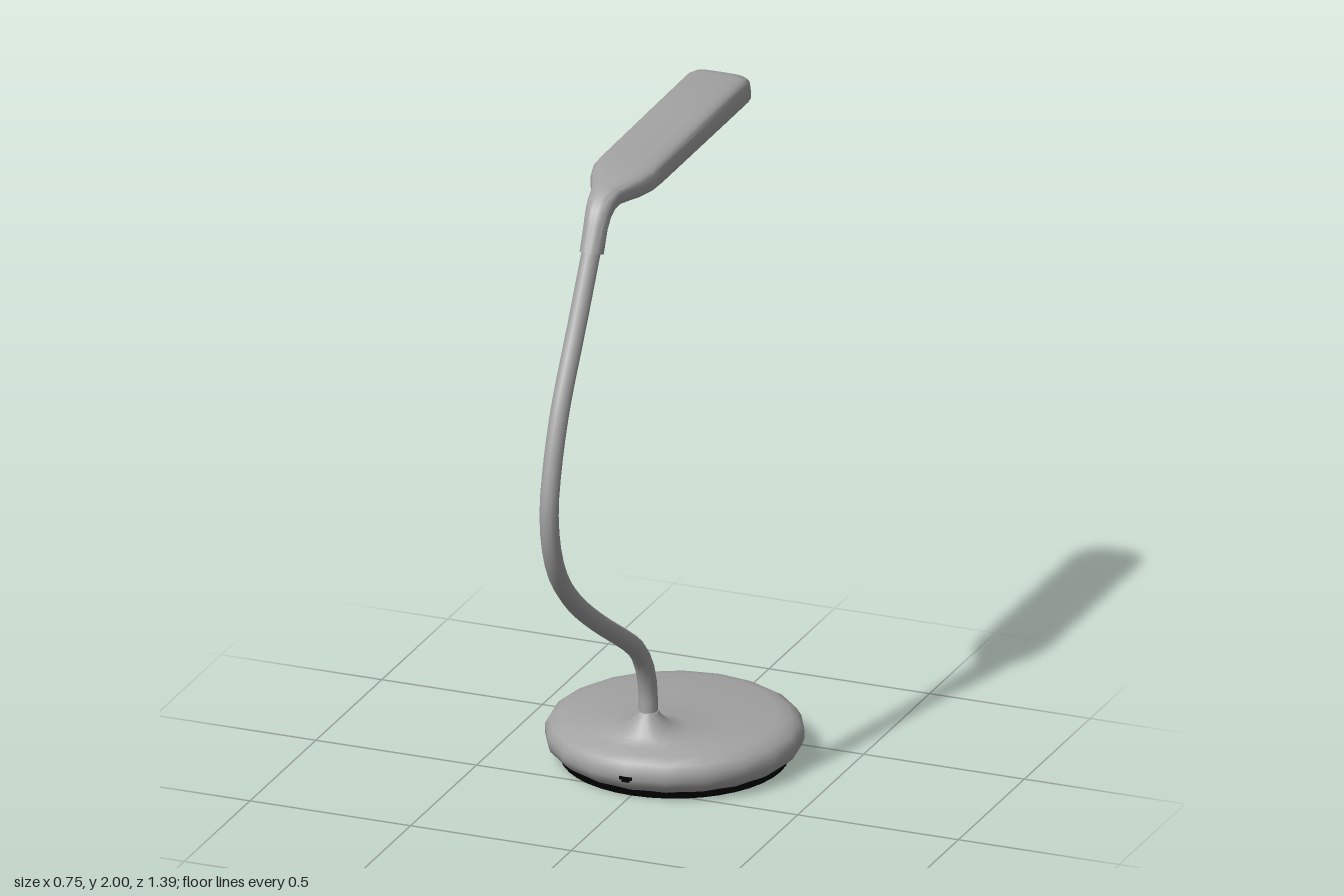
import * as THREE from 'three';
import { toCreasedNormals } from 'three/addons/utils/BufferGeometryUtils.js';

const grey = new THREE.MeshStandardMaterial({ color: 0xa3a3a3 });
grey.name = 'grey plastic';
const black = new THREE.MeshStandardMaterial({ color: 0x000000 });
black.name = 'black rubber';

// Skins a list of closed rings (arrays of Vector3) and caps both ends.
function loft(rings, crease) {
  const n = rings[0].length;
  const pos = [];
  const index = [];
  rings.forEach((ring) => ring.forEach((p) => pos.push(p.x, p.y, p.z)));
  for (let i = 0; i < rings.length - 1; i++) {
    for (let j = 0; j < n; j++) {
      const a = i * n + j;
      const b = i * n + (j + 1) % n;
      index.push(a, a + n, b, b, a + n, b + n);
    }
  }
  [0, rings.length - 1].forEach((r, end) => {
    const c = rings[r].reduce((s, p) => s.add(p), new THREE.Vector3()).divideScalar(n);
    const ci = pos.length / 3;
    pos.push(c.x, c.y, c.z);
    for (let j = 0; j < n; j++) {
      const a = r * n + j;
      const b = r * n + (j + 1) % n;
      if (end) index.push(ci, b, a);
      else index.push(ci, a, b);
    }
  });
  const geo = new THREE.BufferGeometry();
  geo.setAttribute('position', new THREE.Float32BufferAttribute(pos, 3));
  geo.setIndex(index);
  return toCreasedNormals(geo, crease);
}

function ringPoints(count, fn) {
  return Array.from({ length: count }, (_, j) => fn((j / count) * Math.PI * 2));
}

function add(group, name, geo, mat) {
  const mesh = new THREE.Mesh(geo, mat);
  mesh.name = name;
  group.add(mesh);
  return mesh;
}

export function createModel() {
  const lamp = new THREE.Group();
  lamp.name = 'deskLamp';

  // Base: 20-sided disc whose top sweeps up to an off-centre neck [y, radius, z]
  const baseRings = [
    [0.02, 0.335, -0.285], [0.03, 0.35, -0.285], [0.046, 0.368, -0.285], [0.065, 0.375, -0.285],
    [0.09, 0.375, -0.285], [0.112, 0.362, -0.285], [0.128, 0.335, -0.285], [0.137, 0.3, -0.28],
    [0.148, 0.19, -0.19], [0.158, 0.1, -0.11], [0.172, 0.068, -0.09], [0.19, 0.05, -0.084],
    [0.207, 0.036, -0.083], [0.217, 0.031, -0.083],
  ].map(([y, r, z]) => ringPoints(20, (a) =>
    new THREE.Vector3(r * Math.cos(a), y, z + r * Math.sin(a))));
  add(lamp, 'base', loft(baseRings, 1.0), grey);

  // Rubber pad under the base
  add(lamp, 'footPad', new THREE.CylinderGeometry(0.335, 0.33, 0.022, 40), black)
    .position.set(0, 0.011, -0.285);

  // Small power socket on the front rim
  add(lamp, 'powerSocket', new THREE.BoxGeometry(0.038, 0.009, 0.008), black)
    .position.set(0, 0.07, 0.088);
  add(lamp, 'powerSocketLower', new THREE.BoxGeometry(0.024, 0.008, 0.008), black)
    .position.set(0, 0.062, 0.087);

  // Bent gooseneck [z, y]
  const neckPath = new THREE.CatmullRomCurve3([
    [-0.083, 0.19], [-0.083, 0.28], [-0.052, 0.37], [0.005, 0.44], [0.1, 0.507], [0.3, 0.634],
    [0.48, 0.765], [0.6, 0.89], [0.652, 1.0], [0.668, 1.12], [0.645, 1.24], [0.585, 1.4],
    [0.455, 1.62], [0.34, 1.82],
  ].map(([z, y]) => new THREE.Vector3(0, y, z)), false, 'centripetal');
  add(lamp, 'gooseneck', new THREE.TubeGeometry(neckPath, 36, 0.028, 12), grey);

  // Head: round collar flattening into a long bar
  // [top z, top y, bottom z, bottom y, half width, top squareness, bottom squareness]
  const power = (v, n) => Math.sign(v) * Math.abs(v) ** (2 / n);
  const headRings = [
    [0.38, 1.812, 0.31, 1.79, 0.035, 2, 2],
    [0.346, 1.88, 0.286, 1.855, 0.036, 2, 2],
    [0.322, 1.925, 0.268, 1.88, 0.038, 2.2, 2.2],
    [0.295, 1.952, 0.245, 1.897, 0.041, 2.4, 2.6],
    [0.25, 1.97, 0.215, 1.905, 0.046, 2.7, 3.5],
    [0.16, 1.981, 0.16, 1.909, 0.08, 3.2, 5],
    [0.1, 1.986, 0.1, 1.91, 0.096, 3.6, 6],
    [0.04, 1.988, 0.04, 1.91, 0.097, 3.8, 7],
    [-0.3, 1.994, -0.3, 1.91, 0.096, 4, 7],
    [-0.6, 2.0, -0.62, 1.91, 0.095, 4, 7],
    [-0.635, 1.994, -0.65, 1.91, 0.09, 4, 7],
    [-0.662, 1.982, -0.675, 1.91, 0.074, 4, 7],
    [-0.68, 1.968, -0.692, 1.91, 0.046, 4, 7],
  ].map(([tz, ty, bz, by, w, nt, nb]) => ringPoints(28, (a) => {
    const n = Math.sin(a) >= 0 ? nt : nb;
    const v = power(Math.sin(a), n) / 2;
    return new THREE.Vector3(w * power(Math.cos(a), n),
      (ty + by) / 2 + (ty - by) * v, (tz + bz) / 2 + (tz - bz) * v);
  }));
  add(lamp, 'lampHead', loft(headRings, 0.75), grey);

  return lamp;
}
